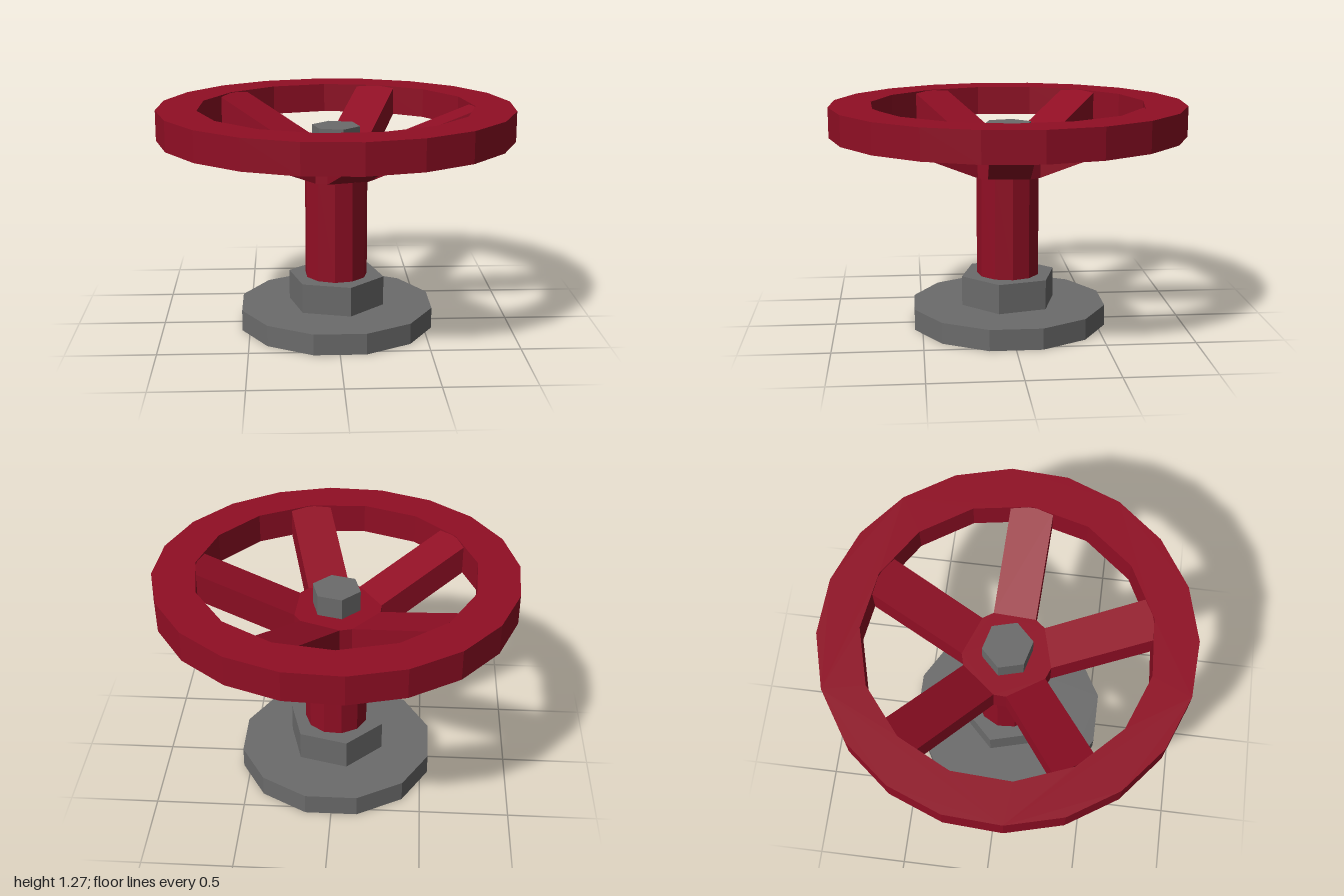
import * as THREE from 'three';

const DEG = Math.PI / 180;

// Points at the given angles (degrees, from +x towards +z)
const ringPoints = (radius, angles) =>
  angles.map(a => new THREE.Vector2(radius * Math.cos(a * DEG), radius * Math.sin(a * DEG)));

const regular = (sides, start) => Array.from({ length: sides }, (_, i) => start + (i * 360) / sides);

// Upright prism between two heights, with an optional hole
function prism(points, bottom, top, hole) {
  const shape = new THREE.Shape(points);
  if (hole) shape.holes.push(new THREE.Path(hole));
  const geo = new THREE.ExtrudeGeometry(shape, { depth: top - bottom, bevelEnabled: false });
  return geo.rotateX(Math.PI / 2).translate(0, top, 0);
}

export function createModel() {
  const model = new THREE.Group();
  model.name = 'valveWheel';

  const red = new THREE.MeshStandardMaterial({ color: 0x900e24 });
  red.name = 'redPaint';
  const grey = new THREE.MeshStandardMaterial({ color: 0x6b6b6b });
  grey.name = 'greyMetal';

  const add = (name, geometry, material) => {
    const mesh = new THREE.Mesh(geometry, material);
    mesh.name = name;
    model.add(mesh);
    return mesh;
  };

  // Foot: flange, nut and stem
  add('baseFlange', prism(ringPoints(0.563, regular(12, 15)), 0, 0.12), grey);
  add('baseNut', prism(ringPoints(0.28, regular(6, 15)), 0.12, 0.29), grey);
  add('stem', prism(ringPoints(0.18, regular(11, -4)), 0.29, 0.88), red);

  // Hub: flat faces where the spokes attach, narrow faces between them
  const spokeAngles = regular(5, 3);
  const hubAngles = spokeAngles.flatMap(a => [a - 28, a + 28]);
  add('hub', prism(ringPoints(0.25, hubAngles), 0.88, 1.045), red);
  add('topNut', prism(ringPoints(0.139, regular(6, 15)), 1.045, 1.165), grey);

  // Spokes rising from the hub to the rim
  const width = 0.235;
  const profile = [[0.22, 0.88], [0.775, 1.11], [0.775, 1.272], [0.22, 1.045]];
  const spokeGeo = new THREE.ExtrudeGeometry(
    new THREE.Shape(profile.map(p => new THREE.Vector2(...p))),
    { depth: width, bevelEnabled: false }
  ).translate(0, 0, -width / 2);
  spokeAngles.forEach((a, i) => {
    add('spoke' + (i + 1), spokeGeo, red).rotation.y = -a * DEG;
  });

  // Rim: twenty sides outside, fifteen inside
  const outer = ringPoints(1.005, regular(20, -5.7));
  const inner = ringPoints(0.78, regular(15, 3 + 24));
  add('rim', prism(outer, 1.105, 1.275, inner), red);

  return model;
}
